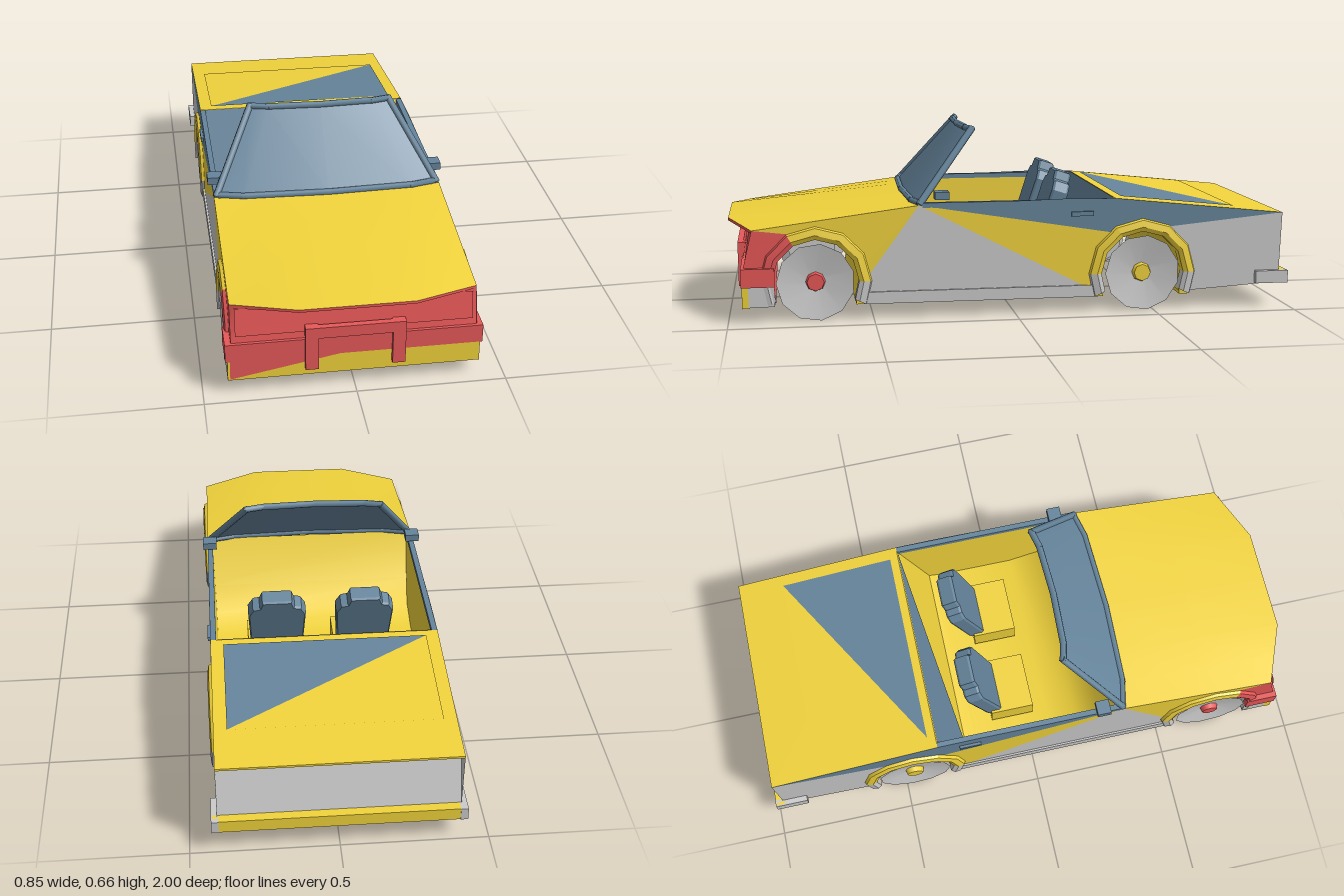
import * as THREE from 'three';
import { toCreasedNormals } from 'three/addons/utils/BufferGeometryUtils.js';

const mat = (color) => new THREE.MeshStandardMaterial({ color, side: THREE.DoubleSide });
const YELLOW = mat(0xf2d43c), BLUE = mat(0x66859c), RED = mat(0xe85858), GREY = mat(0xcccccc);
const W = 0.405, AXLES = [0.70, -0.46], HUB_Y = 0.14;

export function createModel() {
  const car = new THREE.Group();
  car.name = 'convertibleCar';

  const add = (name, geo, material) => {
    const m = new THREE.Mesh(geo, material);
    m.name = name;
    car.add(m);
    return m;
  };
  const box = (name, material, x0, x1, y0, y1, z0, z1) => {
    const g = new THREE.BoxGeometry(x1 - x0, y1 - y0, z1 - z0);
    g.translate((x0 + x1) / 2, (y0 + y1) / 2, (z0 + z1) / 2);
    return add(name, g, material);
  };
  // Surface through rows of [x, y, z] points
  const loft = (name, rows, material, crease = 0.5) => {
    const n = rows[0].length, index = [];
    for (let i = 0; i < rows.length - 1; i++) {
      for (let j = 0; j < n - 1; j++) {
        const a = i * n + j, b = a + n;
        index.push(a, b, a + 1, b, b + 1, a + 1);
      }
    }
    const g = new THREE.BufferGeometry();
    g.setAttribute('position', new THREE.Float32BufferAttribute(rows.flat(2), 3));
    g.setIndex(index);
    g.computeVertexNormals();
    return add(name, toCreasedNormals(g, crease), material);
  };
  const triangle = (name, pts, material) => {
    const g = new THREE.BufferGeometry();
    g.setAttribute('position', new THREE.Float32BufferAttribute(pts.flat(), 3));
    g.computeVertexNormals();
    return add(name, g, material);
  };
  // Bar between two points
  const strut = (name, a, b, r, material) => {
    const p = new THREE.Vector3(...a), d = new THREE.Vector3(...b).sub(p);
    const m = add(name, new THREE.CylinderGeometry(r, r, d.length() + r, 6), material);
    m.position.copy(p).addScaledVector(d, 0.5);
    m.quaternion.setFromUnitVectors(new THREE.Vector3(0, 1, 0), d.normalize());
  };
  // [z, y] points round a wheel opening, 0 degrees = forward
  const arc = (c, from, to, n = 6, r = 0.17) => Array.from({ length: n + 1 }, (_, i) => {
    const a = THREE.MathUtils.degToRad(from + (to - from) * i / n);
    return [c + r * Math.cos(a), HUB_Y + r * Math.sin(a)];
  });
  // Flat body side patch from [z, y] points
  const sidePatch = (name, s, pts, material) => {
    const g = new THREE.ShapeGeometry(new THREE.Shape(pts.map((p) => new THREE.Vector2(...p))));
    const p = g.attributes.position;
    for (let i = 0; i < p.count; i++) p.setXYZ(i, s * W, p.getY(i), p.getX(i));
    g.computeVertexNormals();
    add(name, g, material);
  };

  const [F, R] = AXLES;
  const cowl = [0.34, 0.40], tail = [-0.98, 0.345], nose = [0.915, 0.325];
  // Depth of the sloping rear panel at a height
  const panelZ = (y) => -0.97 + (y - 0.12) / 0.213 * 0.07;
  for (const s of [-1, 1]) {
    // Body sides
    sidePatch('door', s, [cowl, ...arc(F, 180, 205, 2), ...arc(R, -25, -24, 1)], GREY);
    sidePatch('doorRear', s, [cowl, ...arc(R, -25, 58)], YELLOW);
    sidePatch('shoulder', s, [cowl, ...arc(R, 58, 110), tail, [-0.36, 0.41], [-0.2, 0.413]], BLUE);
    sidePatch('rearQuarter', s, [tail, ...arc(R, 110, 205), [-0.97, 0.09]], GREY);
    sidePatch('frontFender', s, [cowl, ...arc(F, 180, 75), nose], YELLOW);
    sidePatch('frontCorner', s, [nose, ...arc(F, 75, -25), [0.92, 0.07], [0.945, 0.2]], RED);
    const mx = (a, b) => (s > 0 ? [a, b] : [-b, -a]);
    box('sill', GREY, ...mx(0.39, 0.412), 0.058, 0.1, -0.29, 0.53);
    box('doorHandle', BLUE, ...mx(0.40, 0.415), 0.35, 0.366, -0.28, -0.2);
    box('mirror', BLUE, ...mx(0.37, 0.422), 0.42, 0.447, 0.235, 0.285);
    box('cockpitRim', BLUE, ...mx(0.385, W), 0.39, 0.408, -0.36, 0.33);
    box('rearBumperEnd', GREY, ...mx(0.40, 0.425), 0.09, 0.135, -1, -0.88);
    box('frontApronEnd', GREY, ...mx(0.40, 0.418), 0.06, 0.13, 0.84, 0.93);
    box('frontBumperEnd', RED, ...mx(0.40, 0.425), 0.13, 0.195, 0.84, 0.955);
    loft('tailLight', [0.235, 0.17].map((y) => mx(0.24, 0.375).map((x) => [x, y, panelZ(y) - 0.004])), GREY);
    box('bullBarLeg', RED, ...mx(0.122, 0.165), 0.085, 0.245, 0.95, 0.97);
    box('bullBarBracket', RED, ...mx(0.122, 0.165), 0.205, 0.245, 0.93, 0.952);

    for (const c of AXLES) {
      // Flared arch: cross-section of [radius, x] swept round the wheel
      const section = [[0.15, 0.37], [0.15, 0.414], [0.166, 0.421], [0.19, 0.416], [0.197, 0.4]];
      const flare = (a0, a1, n, m) => loft('wheelArch', section.map(([r, x]) =>
        arc(c, a0, a1, n, r).map(([z, y]) => [s * x, y, z])), m);
      flare(-25, 0, 1, GREY);
      flare(0, 60, 2, c === F ? RED : YELLOW);
      flare(60, 180, 4, YELLOW);
      flare(180, 205, 1, GREY);
      // Wheel: dished face, thin rim and a narrower drum behind
      const profile = [[0, 0.39], [0.03, 0.392], [0.136, 0.412], [0.095, 0.40], [0.095, 0.295], [0, 0.295]];
      const wheel = new THREE.LatheGeometry(profile.map(([r, x]) => new THREE.Vector2(r, x)), 11);
      const w = add('wheel', toCreasedNormals(wheel, 0.4), GREY);
      const h = add('wheelHub', new THREE.CylinderGeometry(0.03, 0.035, 0.02, 8), c === F ? RED : YELLOW);
      w.rotation.z = h.rotation.z = -s * Math.PI / 2;
      w.position.set(0, HUB_Y, c);
      h.position.set(s * 0.402, HUB_Y, c);
    }
  }

  // Straight hood with clipped front corners
  const xs = [-W, -0.3, -0.19, 0, 0.19, 0.3, W];
  const corner = (x) => Math.max(0, (Math.abs(x) - 0.19) / (W - 0.19));
  const tip = (x, t = 1) => {
    const back = 0.34 + 0.03 * (1 - (x / W) ** 2), front = 1 - 0.085 * corner(x);
    return [x, 0.40 - (0.06 + 0.015 * corner(x)) * t, back + (front - back) * t];
  };
  loft('hood', [0, 0.5, 1].map((t) => xs.map((x) => tip(x, t))), YELLOW);
  // Hood lip and the upright nose set back beneath it
  const under = (x, drop, z) => [x, tip(x)[1] - drop, Math.min(z, tip(x)[2])];
  loft('nose', [xs.map((x) => tip(x)), xs.map((x) => under(x, 0.01, 1)),
    xs.map((x) => under(x, 0.014, 0.925)), xs.map((x) => [x, 0.19, 0.945])], RED);
  loft('grille', [[[-0.39, 0.315, 0.931], [-0.19, 0.324, 0.931], [0.19, 0.324, 0.931], [0.39, 0.315, 0.931]],
    [-0.39, -0.19, 0.19, 0.39].map((x) => [x, 0.22, 0.946])], RED);

  // Front bumper, thin apron and bull bar
  box('frontBumper', RED, -0.425, 0.425, 0.13, 0.195, 0.87, 0.955);
  box('frontApron', YELLOW, -0.418, 0.418, 0.056, 0.13, 0.925, 0.952);
  triangle('apronPatch', [[-0.41, 0.06, 0.953], [-0.04, 0.13, 0.953], [-0.41, 0.13, 0.953]], RED);
  box('bullBar', RED, -0.165, 0.165, 0.205, 0.245, 0.95, 0.971);

  // Underside with wheel tunnels running right across, each edged by a lip
  const belly = (name, profile, m) => loft(name, [-W, W].map((x) => profile.map(([z, y]) => [x, y, z])), m);
  belly('frontTunnel', [[0.88, 0.13], [0.86, 0.07], ...arc(F, -27, 90, 5, 0.152)], RED);
  belly('underside', [...arc(F, 90, 207, 5, 0.152), ...arc(R, -27, 207, 10, 0.152), [-0.97, 0.09]], YELLOW);
  for (const c of AXLES) {
    for (const z of [c - 0.155, c + 0.155]) box('tunnelLip', YELLOW, -0.4, 0.4, 0.056, 0.08, z - 0.015, z + 0.015);
  }

  // Rear deck with an overhang, sloping rear panel and trunk lid
  const deckY = (z) => 0.345 + (z + 0.98) / 0.62 * 0.065;
  const across = (y, z, w = W) => [[-w, y, z], [w, y, z]];
  loft('rearDeck', [across(0.41, -0.36), across(0.345, -0.98), across(0.337, -0.98), across(0.333, panelZ(0.333))], YELLOW);
  loft('rearPanel', [0.333, 0.12].map((y) => across(y, panelZ(y))), GREY);
  const lid = (x, z) => [x, deckY(z) + 0.004, z];
  triangle('trunkLid', [lid(-0.36, -0.39), lid(0.36, -0.81), lid(-0.36, -0.81)], YELLOW);
  triangle('trunkLid', [lid(-0.36, -0.39), lid(0.36, -0.39), lid(0.36, -0.81)], BLUE);
  box('rearBumper', YELLOW, -0.42, 0.42, 0.09, 0.135, -0.998, -0.965);

  // Cockpit tub, rounded into the firewall
  const tub = [[0.41, -0.36], [0.13, -0.25], [0.12, -0.2], [0.12, 0.08], [0.15, 0.19], [0.23, 0.27], [0.40, 0.35]];
  loft('cockpitFloor', tub.map(([y, z]) => across(y, z, 0.39)), YELLOW, 0.8);
  for (const s of [-1, 1]) {
    loft('cockpitWall', [[[s * 0.387, 0.40, -0.36], [s * 0.387, 0.40, 0.34]],
      [[s * 0.38, 0.12, -0.25], [s * 0.38, 0.12, 0.2]]], YELLOW);
  }
  triangle('bulkheadPatch', [[-0.385, 0.41, -0.357], [0.385, 0.41, -0.357], [-0.385, 0.135, -0.245]], BLUE);

  // Seats with broad, tapered backs
  for (const x of [-0.16, 0.16]) {
    box('seatCushion', YELLOW, x - 0.105, x + 0.105, 0.13, 0.22, -0.13, 0.03);
    const outline = [[-0.09, 0], [0.09, 0], [0.1, 0.22], [0.085, 0.25], [0.06, 0.255], [0.05, 0.285],
      [-0.05, 0.285], [-0.06, 0.255], [-0.085, 0.25], [-0.1, 0.22]];
    const g = new THREE.ExtrudeGeometry(new THREE.Shape(outline.map((p) => new THREE.Vector2(...p))),
      { depth: 0.045, bevelEnabled: true, bevelSize: 0.005, bevelThickness: 0.008, bevelSegments: 1 });
    const back = add('seatBack', g, BLUE);
    back.position.set(x, 0.2, -0.14);
    back.rotation.x = -0.32;
  }

  // Bowed windshield and its frame
  const low = [[-0.395, 0.405, 0.335], [-0.3, 0.405, 0.357], [0, 0.405, 0.368], [0.3, 0.405, 0.357], [0.395, 0.405, 0.335]];
  const high = [[-0.253, 0.65, 0.135], [-0.19, 0.65, 0.15], [0, 0.65, 0.158], [0.19, 0.65, 0.15], [0.253, 0.65, 0.135]];
  loft('windshield', [low, high], BLUE);
  for (const row of [low, high]) {
    for (let i = 0; i < 4; i++) strut('windshieldFrame', row[i], row[i + 1], 0.012, BLUE);
  }
  for (const i of [0, 4]) strut('windshieldPillar', low[i], high[i], 0.013, BLUE);

  return car;
}
